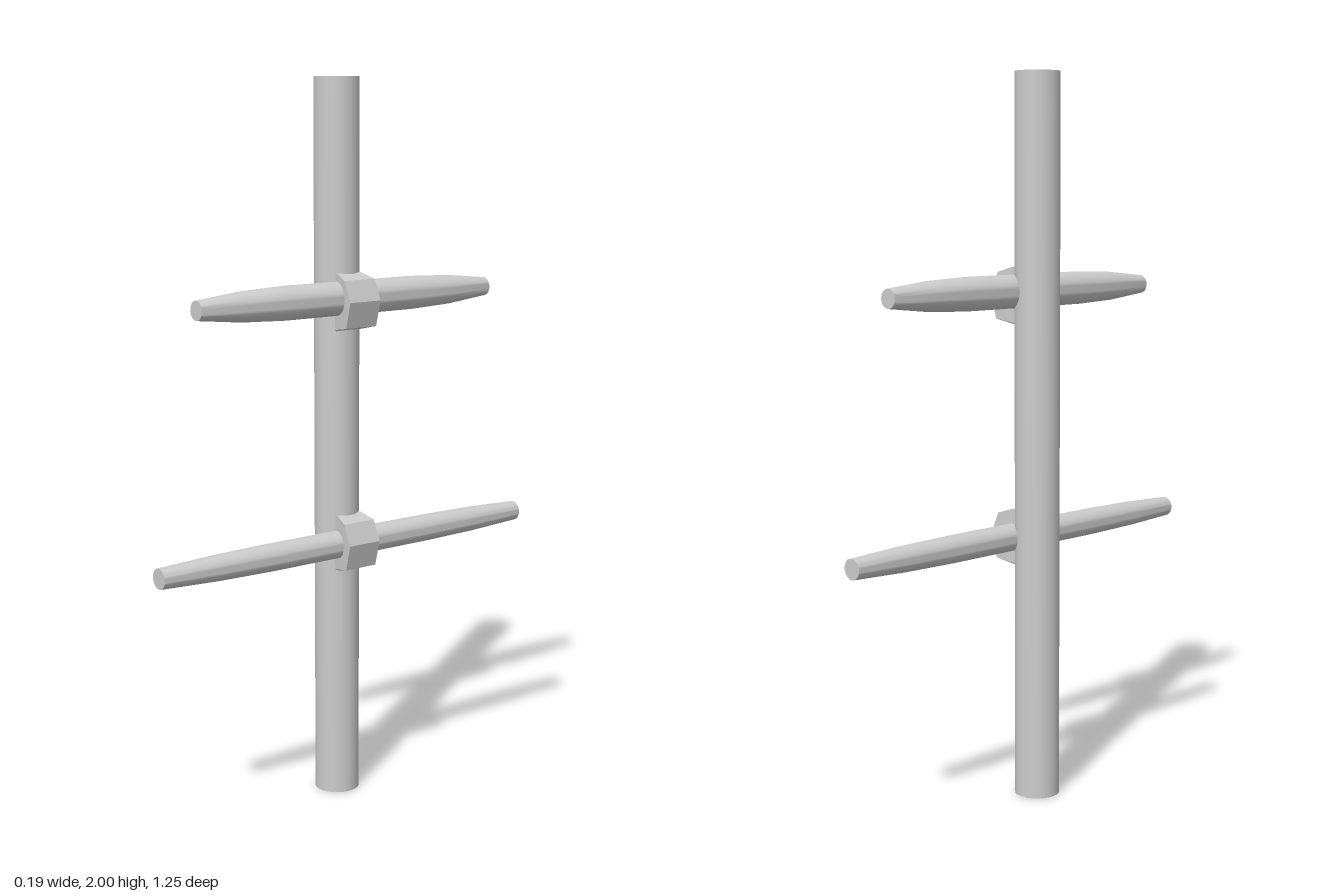
import * as THREE from 'three';
import { toCreasedNormals } from 'three/addons/utils/BufferGeometryUtils.js';

const grey = new THREE.MeshStandardMaterial({ color: 0xcccccc });
grey.name = 'pale grey';

function addMesh(parent, name, geometry) {
  const mesh = new THREE.Mesh(geometry, grey);
  mesh.name = name;
  parent.add(mesh);
  return mesh;
}

// Tapered spar lying along z, thickest in the middle, with flat ends
function sparGeometry(half, midRadius, endRadius) {
  const bulge = endRadius + (midRadius - endRadius) * 0.72;
  const profile = [
    [0, -half], [endRadius, -half], [bulge, -half * 0.72], [midRadius, -half * 0.44],
    [midRadius, half * 0.44], [bulge, half * 0.72], [endRadius, half], [0, half],
  ].map(([r, y]) => new THREE.Vector2(r, y));
  const geometry = new THREE.LatheGeometry(profile, 32);
  geometry.rotateX(Math.PI / 2);
  return toCreasedNormals(geometry, 0.6);
}

// Faceted clamp around the spar, narrowing in z towards the mast
function clampGeometry() {
  const outline = [
    [-0.005, -0.08], [0.01, -0.082], [0.072, -0.068], [0.09, 0.003],
    [0.065, 0.06], [0.02, 0.075], [-0.005, 0.075],
  ].map(([x, y]) => new THREE.Vector2(x, y));
  const geometry = new THREE.ExtrudeGeometry(new THREE.Shape(outline), { depth: 2, bevelEnabled: false });
  geometry.translate(0, 0, -1);
  const p = geometry.attributes.position;
  for (let i = 0; i < p.count; i++) {
    const t = THREE.MathUtils.clamp((p.getX(i) - 0.01) / 0.052, 0, 1);
    p.setZ(i, p.getZ(i) * (0.039 + 0.013 * t));
  }
  return toCreasedNormals(geometry, 0.2);
}

export function createModel() {
  const model = new THREE.Group();
  model.name = 'mast with yards';

  // Round mast
  const mast = addMesh(model, 'mast', new THREE.CylinderGeometry(0.062, 0.062, 2, 48));
  mast.position.set(-0.035, 1, 0);

  // Yards with their clamps
  const yards = [
    { name: 'upper', x: 0.018, y: 1.412, clampY: 1.404, half: 0.496, mid: 0.046, end: 0.026 },
    { name: 'lower', x: 0.022, y: 0.731, clampY: 0.736, half: 0.626, mid: 0.038, end: 0.028 },
  ];
  for (const yard of yards) {
    const group = new THREE.Group();
    group.name = yard.name + 'Yard';
    addMesh(group, 'spar', sparGeometry(yard.half, yard.mid, yard.end)).position.set(yard.x, yard.y, 0);
    addMesh(group, 'clamp', clampGeometry()).position.y = yard.clampY;
    model.add(group);
  }
  return model;
}
